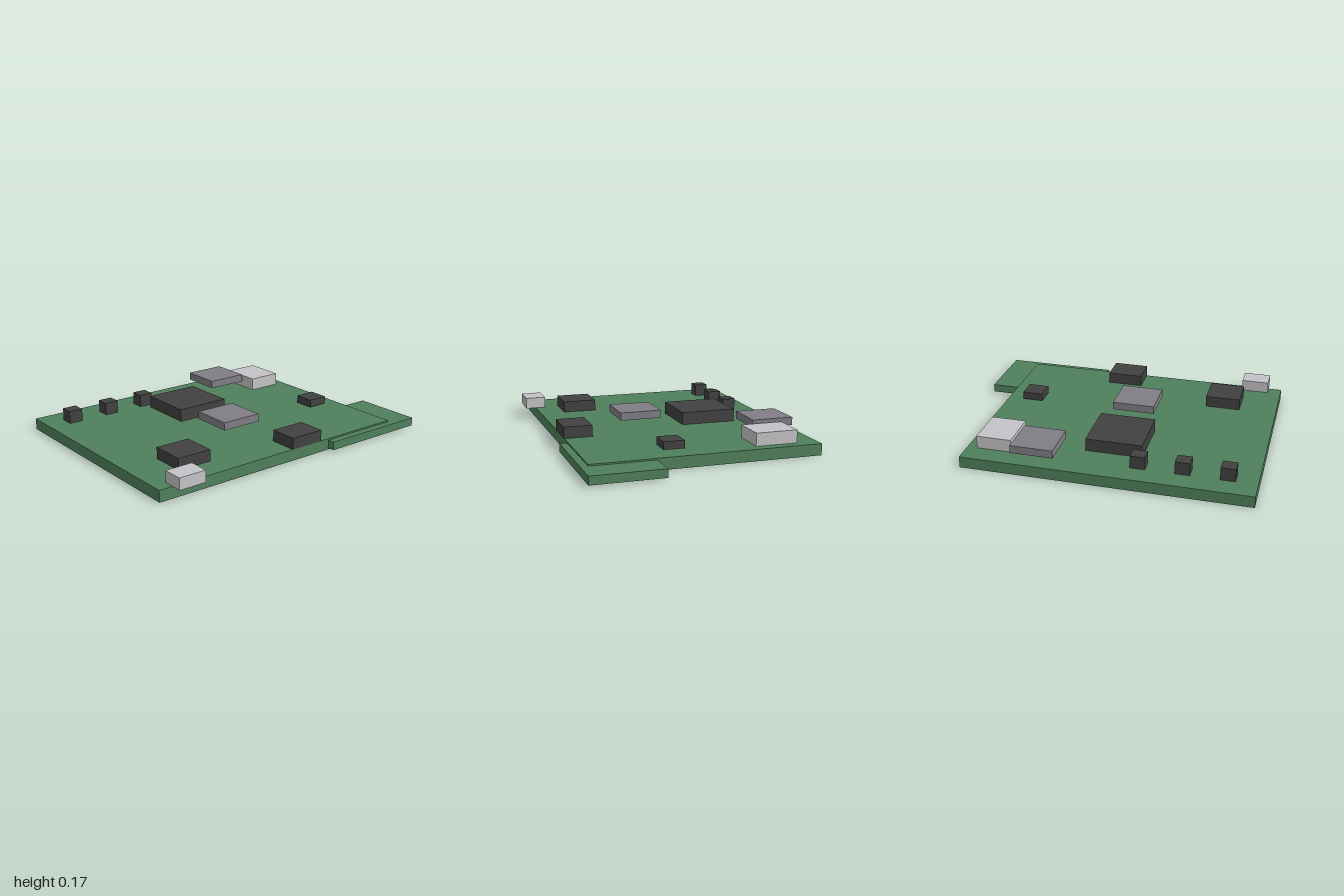
import * as THREE from 'three';

const material = (name, color) => {
  const m = new THREE.MeshStandardMaterial({ color });
  m.name = name;
  return m;
};

export function createModel() {
  const green = material('boardGreen', 0x4f805c);
  const black = material('chipBlack', 0x414141);
  const grey = material('shieldGrey', 0x807e84);
  const silver = material('connectorSilver', 0xc4c4c8);

  const model = new THREE.Group();
  model.name = 'circuitBoard';

  // Adds a box spanning the given x, y and z ranges
  const block = (name, mat, [x0, x1], [y0, y1], [z0, z1]) => {
    const mesh = new THREE.Mesh(new THREE.BoxGeometry(x1 - x0, y1 - y0, z1 - z0), mat);
    mesh.position.set((x0 + x1) / 2, (y0 + y1) / 2, (z0 + z1) / 2);
    mesh.name = name;
    model.add(mesh);
  };

  const top = 0.073;

  // Boards
  block('mainBoard', green, [-1, 0.813], [0, top], [-0.762, 0.695]);
  block('sideBoard', green, [0.272, 1], [0.01, 0.063], [0.287, 0.741]);

  // Black chips
  block('processor', black, [-0.273, 0.087], [top, 0.154], [-0.488, -0.125]);
  block('leftChip', black, [-0.756, -0.529], [top, 0.146], [0.31, 0.533]);
  block('frontChip', black, [-0.028, 0.204], [top, 0.146], [0.514, 0.698]);
  block('smallChip', black, [0.564, 0.7], [0.086, 0.136], [0.082, 0.214]);

  // Row of capacitors along the back
  for (const x of [-0.82, -0.549, -0.276]) {
    block('capacitor', black, [x - 0.046, x + 0.046], [top, 0.154], [-0.626, -0.538]);
  }

  // Raised grey plates
  block('centreShield', grey, [-0.231, 0.043], [0.121, 0.172], [0.013, 0.285]);
  block('backShield', grey, [0.225, 0.497], [0.121, 0.172], [-0.716, -0.446]);

  // Silver connectors
  block('backConnector', silver, [0.524, 0.749], [top, 0.155], [-0.626, -0.355]);
  block('frontConnector', silver, [-0.911, -0.732], [0.072, 0.146], [0.628, 0.762]);

  return model;
}
